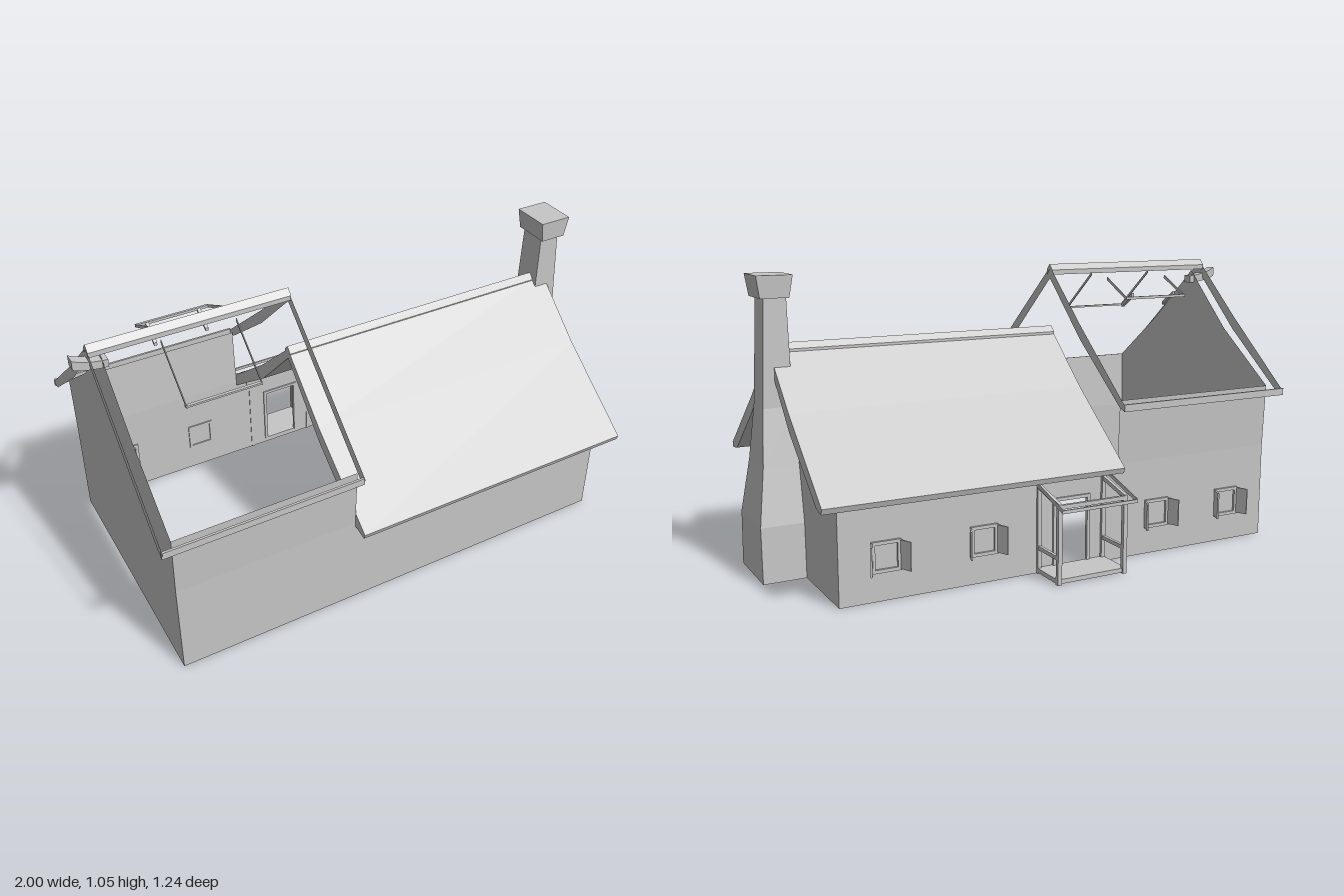
import * as THREE from 'three';

export function createModel() {
  const house = new THREE.Group();
  house.name = 'house';
  const grey = new THREE.MeshStandardMaterial({ color: 0xc6c6c6, side: THREE.DoubleSide, flatShading: true });
  grey.name = 'plain grey';

  const add = (name, geometry, parent = house) => {
    const mesh = new THREE.Mesh(geometry, grey);
    mesh.name = name;
    parent.add(mesh);
    return mesh;
  };
  const group = (name) => {
    const g = new THREE.Group();
    g.name = name;
    house.add(g);
    return g;
  };
  // box given by its limits
  const box = (name, x0, x1, y0, y1, z0, z1, parent) => {
    const g = new THREE.BoxGeometry(x1 - x0, y1 - y0, z1 - z0);
    g.translate((x0 + x1) / 2, (y0 + y1) / 2, (z0 + z1) / 2);
    return add(name, g, parent);
  };
  // [z, y] outline placed at x, either flat or extruded towards +x
  const section = (name, points, x, depth, parent) => {
    const shape = new THREE.Shape(points.map(([z, y]) => new THREE.Vector2(-z, y)));
    const g = depth
      ? new THREE.ExtrudeGeometry(shape, { depth, bevelEnabled: false })
      : new THREE.ShapeGeometry(shape);
    g.rotateY(Math.PI / 2).translate(x, 0, 0);
    return add(name, g, parent);
  };
  // sloping bar in the z-y plane
  const slope = (name, x, width, [z0, y0], [z1, y1], t, parent) =>
    section(name, [[z0, y0], [z1, y1], [z1, y1 - t], [z0, y0 - t]], x - width / 2, width, parent);
  // skin over rectangular rings [y, x0, x1, z0, z1]
  const stack = (name, rings, closeTop) => {
    const corners = rings.map(([y, x0, x1, z0, z1]) => [[x0, y, z1], [x1, y, z1], [x1, y, z0], [x0, y, z0]]);
    const pos = [];
    const quad = (a, b, c, d) => pos.push(...a, ...b, ...c, ...a, ...c, ...d);
    for (let i = 0; i + 1 < corners.length; i++)
      for (let k = 0; k < 4; k++) {
        const n = (k + 1) % 4;
        quad(corners[i][k], corners[i][n], corners[i + 1][n], corners[i + 1][k]);
      }
    if (closeTop) quad(...corners[corners.length - 1]);
    const g = new THREE.BufferGeometry();
    g.setAttribute('position', new THREE.Float32BufferAttribute(pos, 3));
    g.computeVertexNormals();
    return add(name, g);
  };

  // long walls: low part for the full length, slightly flared upper part at the tall end
  const wallShape = (hole) => {
    const s = new THREE.Shape();
    s.moveTo(-0.9, 0).lineTo(0.845, 0).lineTo(0.845, 0.36).lineTo(-0.9, 0.36).closePath();
    if (hole) {
      const door = new THREE.Path();
      door.moveTo(-0.1, 0.02).lineTo(-0.1, 0.26).lineTo(0.04, 0.26).lineTo(0.04, 0.02).closePath();
      s.holes.push(door);
    }
    return new THREE.ShapeGeometry(s);
  };
  add('frontWall', wallShape(false).translate(0, 0, 0.55));
  // mirrored so that the outside faces the back
  const back = wallShape(true);
  back.setIndex([...back.index.array].reverse());
  back.attributes.normal.array.forEach((v, i, a) => { a[i] = -v; });
  add('backWall', back.translate(0, 0, -0.425));
  for (const [name, z, s] of [['frontUpperWall', 0.55, 1], ['backUpperWall', -0.425, -1]]) {
    const g = new THREE.PlaneGeometry(0.675, 0.235);
    if (s < 0) g.rotateY(Math.PI);
    g.translate(-0.5625, 0.4775, z);
    const p = g.attributes.position;
    for (let i = 0; i < p.count; i++) if (p.getY(i) > 0.5) p.setZ(i, z + s * 0.01);
    g.computeVertexNormals();
    add(name, g);
  }

  // gable walls
  section('tallGable', [[0.55, 0], [0.55, 0.36], [0.56, 0.595], [0.29, 0.8], [0.057, 1.01],
    [-0.17, 0.79], [-0.435, 0.595], [-0.425, 0.36], [-0.425, 0]], -0.9);
  section('lowGable', [[0.55, 0], [0.55, 0.35], [0.29, 0.545], [0.06, 0.775],
    [-0.16, 0.55], [-0.425, 0.35], [-0.425, 0]], 0.845);

  // low roof and its ridge cap
  section('lowRoof', [[0.06, 0.805], [0.29, 0.6], [0.617, 0.355], [0.61, 0.335], [0.55, 0.345],
    [0.29, 0.54], [0.06, 0.765], [-0.16, 0.54], [-0.42, 0.345], [-0.468, 0.335],
    [-0.475, 0.355], [-0.16, 0.605]], -0.225, 1.135);
  const cap = (name, y, x0, x1) => section(name,
    [[0.078, y - 0.022], [0.057, y], [0.036, y - 0.022], [0.036, y - 0.04], [0.057, y - 0.018], [0.078, y - 0.04]],
    x0, x1 - x0);
  cap('lowRidgeCap', 0.815, -0.225, 0.86);

  // open roof frame of the tall part
  cap('tallRidgeCap', 1.055, -0.945, -0.215);
  for (const x of [-0.943, -0.217])
    section('rakeBoard', [[0.057, 1.045], [0.29, 0.85], [0.6, 0.588], [0.585, 0.566], [0.56, 0.572],
      [0.29, 0.8], [0.057, 1.0], [-0.17, 0.785], [-0.44, 0.575], [-0.47, 0.563], [-0.48, 0.58], [-0.17, 0.84]], x);
  box('frontEave', -0.945, -0.215, 0.564, 0.59, 0.583, 0.592);
  box('backEave', -0.945, -0.215, 0.562, 0.588, -0.482, -0.474);

  // curved beam end at the gable peak
  const hook = new THREE.Shape();
  hook.moveTo(-1, 0.985).quadraticCurveTo(-0.96, 0.965, -0.88, 0.96).lineTo(-0.88, 0.988);
  hook.quadraticCurveTo(-0.96, 0.995, -1, 1.02).closePath();
  add('ridgeBeamEnd', new THREE.ExtrudeGeometry(hook, { depth: 0.04, bevelEnabled: false }).translate(0, 0, 0.036));

  // roof hatches: front one shut, back one propped open
  const hatch = group('roofHatches');
  for (const x of [-0.702, -0.43]) {
    slope('frontHatchSide', x, 0.003, [0.09, 1.015], [0.275, 0.865], 0.012, hatch);
    slope('openHatchSide', x, 0.003, [-0.025, 1.002], [-0.158, 0.936], 0.012, hatch);
  }
  box('frontHatchEdge', -0.704, -0.428, 0.855, 0.862, 0.262, 0.274, hatch);
  box('openHatchEdge', -0.704, -0.428, 0.925, 0.935, -0.164, -0.155, hatch);
  for (const x of [-0.668, -0.475])
    slope('hatchProp', x, 0.012, [-0.07, 0.9], [-0.137, 0.946], 0.012, hatch);

  // chimney with flared cap
  stack('chimney', [
    [0, 0.843, 1, -0.09, 0.175], [0.2, 0.843, 1, -0.085, 0.165], [0.4, 0.845, 0.972, -0.048, 0.132],
    [0.6, 0.85, 0.955, -0.015, 0.102], [0.98, 0.858, 0.937, -0.008, 0.095],
  ]);
  stack('chimneyCap', [
    [0.985, 0.87, 0.93, 0.01, 0.08], [0.977, 0.853, 0.955, -0.03, 0.11], [1.055, 0.84, 0.967, -0.035, 0.115],
  ], true);

  // back windows with splayed shutters
  for (const x of [0.68, 0.32, -0.4, -0.725]) {
    const w = group('window');
    for (const s of [-1, 1]) {
      box('frameSide', x + s * 0.046 - 0.006, x + s * 0.046 + 0.006, 0.1, 0.208, -0.434, -0.42, w);
      const shutter = add('shutter', new THREE.BoxGeometry(0.006, 0.1, 0.05).translate(0, 0, -0.025), w);
      shutter.position.set(x + s * 0.05, 0.154, -0.428);
      shutter.rotation.y = -s * 0.4;
    }
    for (const y of [0.1, 0.196]) box('frameBar', x - 0.052, x + 0.052, y, y + 0.012, -0.434, -0.42, w);
  }

  // porch at the back door
  const porch = group('porch');
  box('porchFloor', -0.17, 0.11, 0.004, 0.02, -0.572, -0.425, porch);
  for (const x of [-0.163, 0.103]) {
    box('outerPost', x - 0.008, x + 0.008, 0, 0.285, -0.576, -0.56, porch);
    box('wallPost', x - 0.008, x + 0.008, 0, 0.325, -0.435, -0.422, porch);
    box('sideRail', x - 0.006, x + 0.006, 0.088, 0.102, -0.565, -0.425, porch);
    slope('rafter', x, 0.012, [-0.425, 0.328], [-0.576, 0.288], 0.016, porch);
  }
  box('porchBeam', -0.171, 0.111, 0.27, 0.285, -0.576, -0.564, porch);
  for (const x of [-0.18, 0.12])
    slope('porchRake', x, 0.003, [-0.42, 0.345], [-0.62, 0.283], 0.014, porch);
  box('porchEave', -0.181, 0.121, 0.269, 0.281, -0.622, -0.616, porch);

  // doorway frame
  for (const x of [-0.106, 0.034]) box('doorJamb', x, x + 0.012, 0.02, 0.266, -0.433, -0.42, porch);
  box('doorLintel', -0.106, 0.046, 0.254, 0.266, -0.433, -0.42, porch);

  return house;
}
